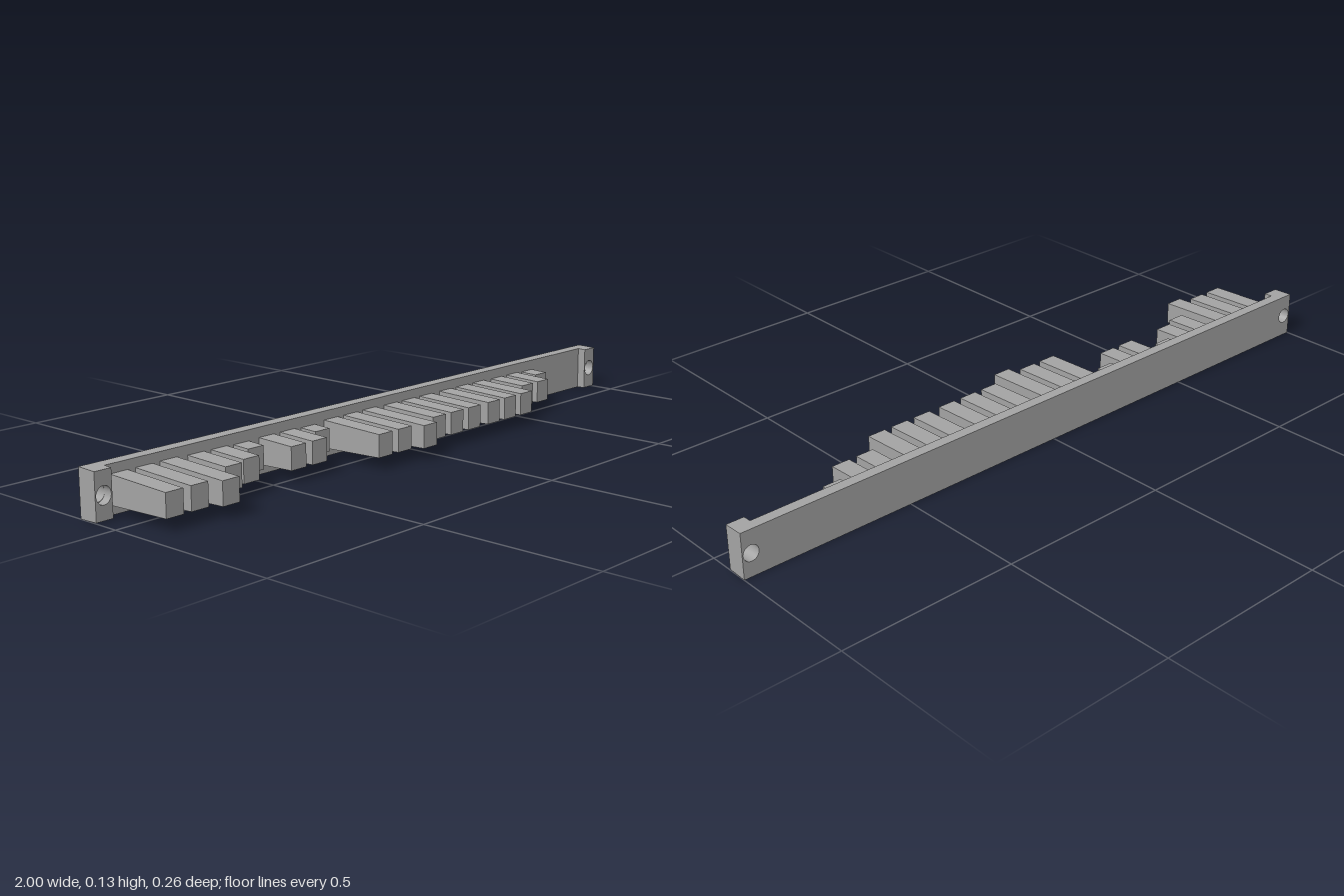
import * as THREE from 'three';

const BACK = -0.128, PLATE_FRONT = -0.095, LUG_FRONT = -0.07;
const MID_Y = 0.064, DRAFT = 0.035; // mould draft: height lost per unit of depth

// Shrinks the height of a geometry towards the front, away from the plane z0
function applyDraft(geometry, z0) {
  const p = geometry.attributes.position;
  for (let i = 0; i < p.count; i++) {
    const y = p.getY(i);
    if (Math.abs(y) > 0.028) p.setY(i, y - Math.sign(y) * DRAFT * (p.getZ(i) - z0));
  }
  geometry.computeVertexNormals();
  return geometry;
}

// Rectangle with round screw holes, extruded from z0 to z1
function drilledBlock(x0, x1, halfHeight, holes, z0, z1) {
  const shape = new THREE.Shape();
  shape.moveTo(x0, -halfHeight);
  shape.lineTo(x1, -halfHeight);
  shape.lineTo(x1, halfHeight);
  shape.lineTo(x0, halfHeight);
  shape.closePath();
  for (const x of holes) {
    const hole = new THREE.Path();
    hole.absarc(x, 0, 0.022, 0, Math.PI * 2, true);
    shape.holes.push(hole);
  }
  const geometry = new THREE.ExtrudeGeometry(shape, { depth: z1 - z0, bevelEnabled: false, curveSegments: 24 });
  geometry.translate(0, 0, z0);
  return applyDraft(geometry, BACK);
}

export function createModel() {
  const model = new THREE.Group();
  const grey = new THREE.MeshStandardMaterial({ color: 0xa3a3a3 });
  grey.name = 'plain grey';

  const add = (name, geometry) => {
    const mesh = new THREE.Mesh(geometry, grey);
    mesh.name = name;
    mesh.position.y = MID_Y;
    model.add(mesh);
  };

  // Long backing plate and the thicker mounting lug at each end
  add('backPlate', drilledBlock(-1, 1, MID_Y, [-0.975, 0.975], BACK, PLATE_FRONT));
  for (const [name, s] of [['leftLug', 1], ['rightLug', -1]]) {
    const x = s * 0.975;
    const half = MID_Y - DRAFT * (PLATE_FRONT - BACK);
    const lug = drilledBlock(x - 0.025, x + 0.025, half, [x], 0, LUG_FRONT - PLATE_FRONT);
    // the draft was measured from the plate's back, so restore the height at the root
    lug.scale(1, half / (half + DRAFT * BACK), 1);
    lug.translate(0, 0, PLATE_FRONT);
    add(name, lug);
  }

  // Seven groups of three teeth; each number is where a tooth ends in z
  const groups = [
    [0.104, 0.104, 0.128],
    [0.042, 0.023, -0.041],
    [0.023, 0.023, -0.041],
    [0.104, 0.104, 0.128],
    [0.085, 0.085, 0.085],
    [0.085, 0.085, 0.085],
    [0.023, 0.023, -0.041],
  ];
  groups.forEach((tips, g) => tips.forEach((tip, i) => {
    const length = tip - PLATE_FRONT;
    const tooth = new THREE.BoxGeometry(0.053, 0.063, length);
    tooth.translate(-0.909 + g * 0.239 + i * 0.0757, 0, tip - length / 2);
    add(`tooth${g * 3 + i + 1}`, applyDraft(tooth, tip));
  }));

  return model;
}
